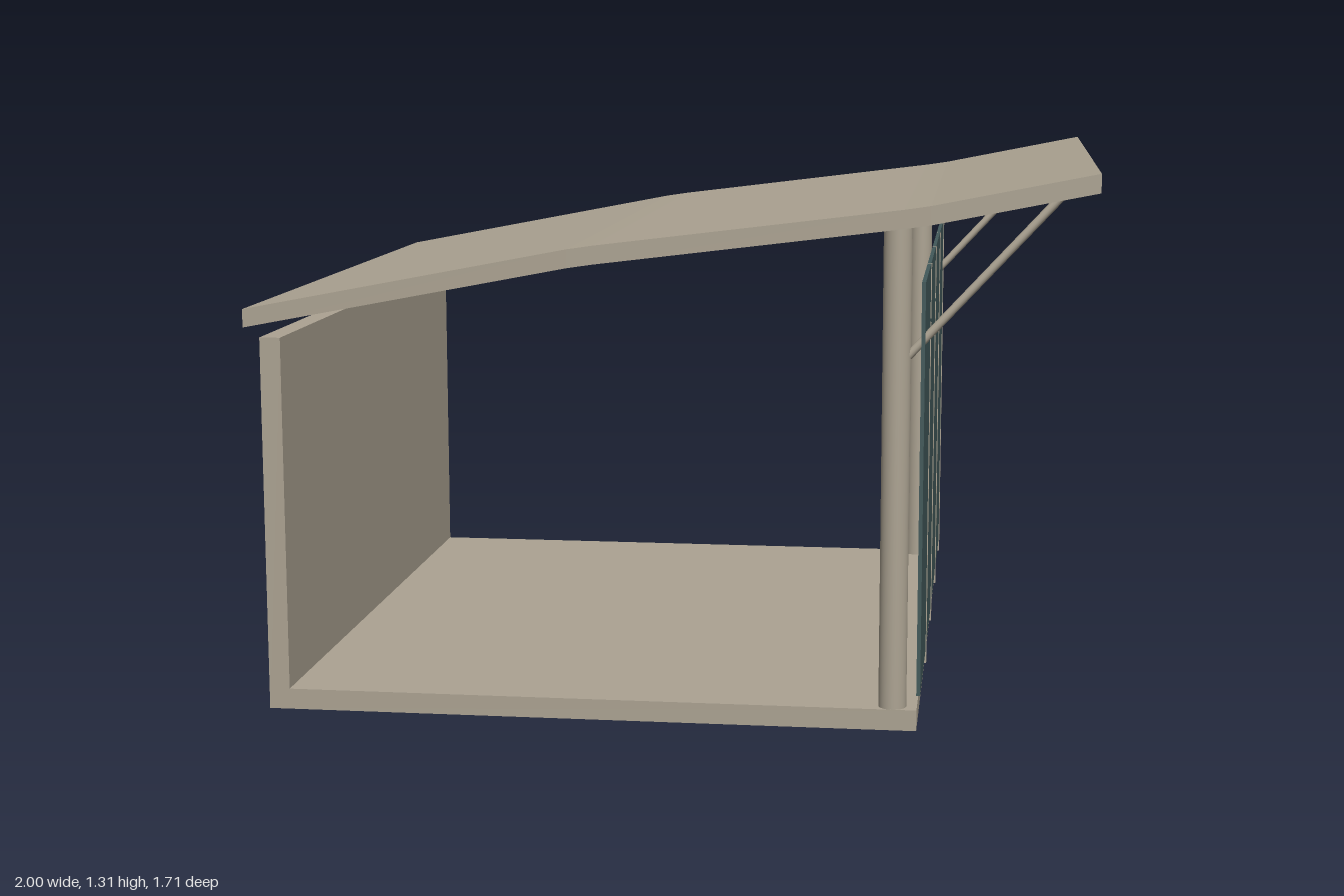
import * as THREE from 'three';

export function createModel() {
  const model = new THREE.Group();
  const concrete = new THREE.MeshStandardMaterial({ color: 0xaca392 });
  concrete.name = 'warm grey concrete';
  const glass = new THREE.MeshStandardMaterial({ color: 0x42595a });
  glass.name = 'dark teal glass';

  const add = (name, geometry, material) => {
    const mesh = new THREE.Mesh(geometry, material);
    mesh.name = name;
    model.add(mesh);
    return mesh;
  };
  // Box given by its limits on each axis
  const box = (name, [x0, x1], [y0, y1], [z0, z1], material = concrete) =>
    add(name, new THREE.BoxGeometry(x1 - x0, y1 - y0, z1 - z0), material)
      .position.set((x0 + x1) / 2, (y0 + y1) / 2, (z0 + z1) / 2);
  // Round bar between two points
  const bar = (name, a, b, radius, sides) => {
    const dir = b.clone().sub(a);
    const mesh = add(name, new THREE.CylinderGeometry(radius, radius, dir.length(), sides), concrete);
    mesh.position.copy(a).add(b).multiplyScalar(0.5);
    mesh.quaternion.setFromUnitVectors(new THREE.Vector3(0, 1, 0), dir.normalize());
  };

  // Floor slab and back wall as one L-shaped section
  const depth = 0.853;
  const section = (name, points) => {
    const shape = new THREE.Shape(points.map(([x, y]) => new THREE.Vector2(x, y)));
    const geometry = new THREE.ExtrudeGeometry(shape, { depth: depth * 2, bevelEnabled: false });
    add(name, geometry.translate(0, 0, -depth), concrete);
  };
  section('floorAndWall', [[-0.96, 0], [0.603, 0], [0.603, 0.05], [-0.91, 0.05], [-0.91, 0.907], [-0.96, 0.907]]);

  // Gently folded roof slab
  const roofLine = [[-1, 0.93], [-0.22, 1.081], [-0.16, 1.09], [0.56, 1.18], [0.62, 1.189], [1, 1.265]];
  section('roof', [...roofLine, ...roofLine.map(([x, y]) => [x, y + 0.044]).reverse()]);

  // Columns and slanting roof braces at both ends
  for (const side of [1, -1]) {
    const z = side * 0.82;
    bar('column', new THREE.Vector3(0.545, 0.05, z), new THREE.Vector3(0.545, 1.182, z), 0.033, 32);
    bar('roofBrace', new THREE.Vector3(0.572, 0.885, z + side * 0.004),
      new THREE.Vector3(0.912, 1.254, z + side * 0.004), 0.01, 12);
  }

  // Four hanging panels, each with a mullion on its far edge
  const pitch = 0.4285;
  for (let i = 0; i < 4; i++) {
    const z = 0.855 - i * pitch;
    box('glassPanel', [0.602, 0.611], [0.086, 1.06], [z - pitch + 0.014, z], glass);
    box('mullion', [0.602, 0.613], [0.052, 0.915], [z - pitch, z - pitch + 0.014]);
    box('upperMullion', [0.602, 0.613], [0.925, 1.06], [z - pitch, z - pitch + 0.014]);
  }

  return model;
}
